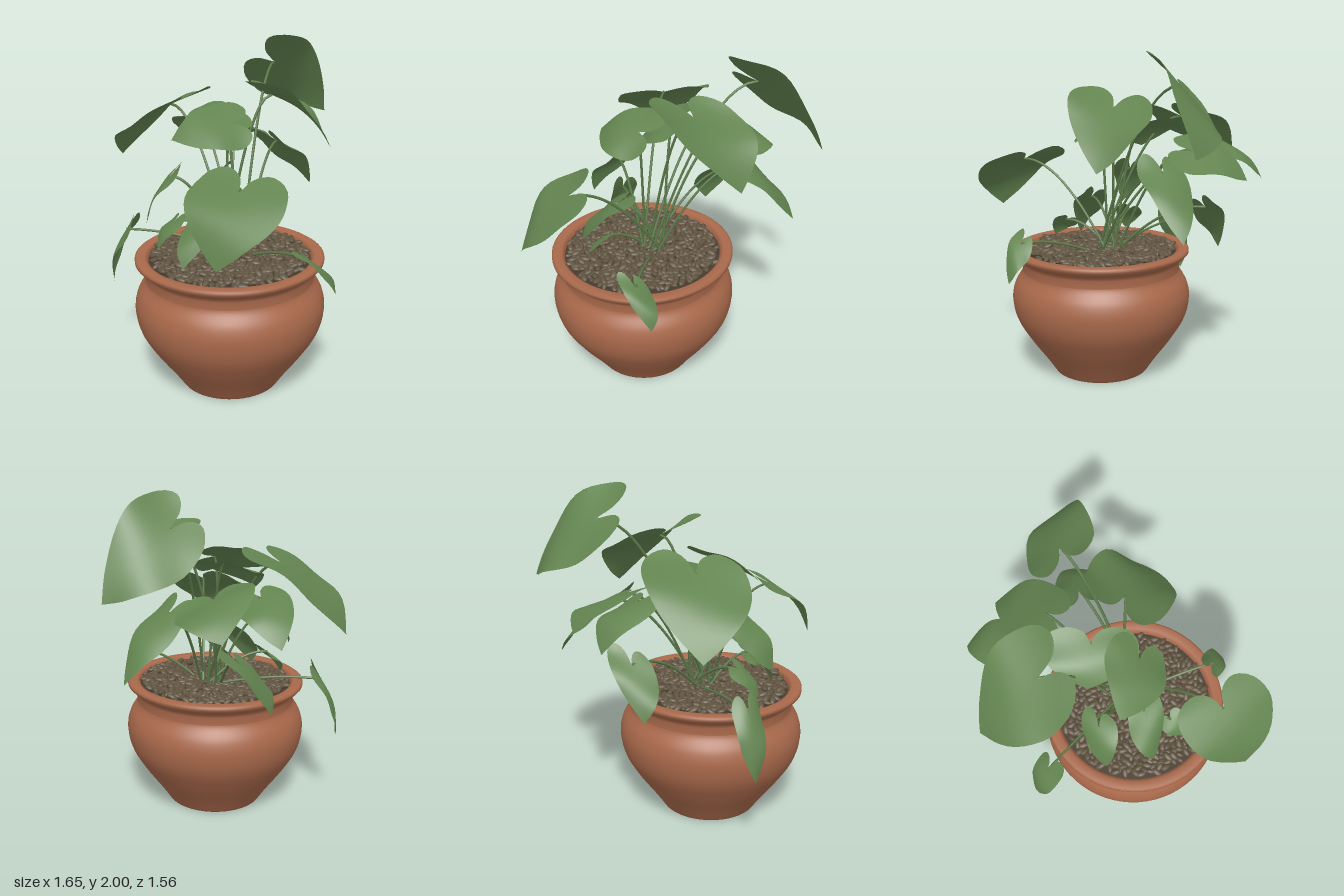
import * as THREE from 'three';
import { mergeGeometries } from 'three/addons/utils/BufferGeometryUtils.js';

const CX = 0.11, CZ = 0.22; // pot axis

const V = (a) => new THREE.Vector3(...a);
const paint = (name, hex) => {
  const m = new THREE.MeshStandardMaterial({ color: hex });
  m.name = name;
  return m;
};

function seeded(seed) {
  return () => {
    seed = (seed * 16807) % 2147483647;
    return seed / 2147483647;
  };
}

// Half outline of a heart leaf: x along the rib (0 notch, 1 tip), y across
const outline = new THREE.CatmullRomCurve3([
  [0, 0], [-0.22, 0.15], [-0.32, 0.5], [-0.15, 0.9], [0.15, 1],
  [0.45, 0.84], [0.78, 0.42], [1, 0],
].map(([l, w]) => new THREE.Vector3(l, w, 0)));

// Heart leaf from its notch, tip and half-width vector
function leafGeometry(notch, tip, side, arch, fold, phase) {
  const rows = 24, cols = 12;
  const axis = tip.clone().sub(notch), len = axis.length();
  const up = side.clone().cross(axis).normalize();
  if (up.y < 0) up.negate();
  const pos = [], idx = [];
  for (let i = 0; i <= rows; i++) {
    const s = i / rows, edge = outline.getPoint(s), rib = s * s;
    for (let j = 0; j <= cols; j++) {
      const k = (j / cols) * 2 - 1, a = Math.abs(k);
      const l = rib + (edge.x - rib) * a, w = edge.y * k;
      const h = len * (arch * Math.sin(Math.PI * l) - fold * w * w
        + 0.035 * w * Math.sin(7 * l + phase));
      const p = notch.clone().addScaledVector(axis, l)
        .addScaledVector(side, w).addScaledVector(up, h);
      pos.push(p.x, p.y, p.z);
      if (i < rows && j < cols) {
        const q = i * (cols + 1) + j, r = q + cols + 1;
        idx.push(q, r, q + 1, q + 1, r, r + 1);
      }
    }
  }
  const g = new THREE.BufferGeometry();
  g.setAttribute('position', new THREE.Float32BufferAttribute(pos, 3));
  g.setIndex(idx);
  g.computeVertexNormals();
  return g;
}

// [notch, tip, half width, arch, fold]
const LEAVES = {
  topBackLeaf: [[-0.21, 1.82, -0.38], [-0.165, 1.47, -0.78], [0.18, 0.17, -0.03], 0.12, 0],
  highCentreLeaf: [[0.1, 1.69, -0.1], [0.27, 1.36, -0.42], [0.19, 0.05, 0.18], 0.1, -0.1],
  largeLeftLeaf: [[0.55, 1.33, 0.49], [0.67, 1.0, 0.73], [0.26, -0.02, -0.1], 0.14, 0.02],
  largeRightLeaf: [[-0.42, 1.6, 0.25], [-0.79, 1.24, 0.39], [0.09, -0.04, 0.27], 0.1, 0],
  backRightLeaf: [[-0.34, 1.44, -0.18], [-0.62, 1.28, -0.36], [0.1, -0.08, -0.2], 0.12, 0.03],
  lowBackLeaf: [[-0.13, 1.34, -0.34], [-0.15, 1.0, -0.65], [0.14, 0.02, 0], 0.08, 0.06],
  frontHighLeaf: [[0.12, 1.57, 0.22], [-0.03, 1.49, 0.51], [0.15, -0.1, 0.07], 0.1, 0.06],
  centreLeaf: [[-0.12, 1.57, 0.09], [-0.17, 1.42, 0.29], [0.26, -0.03, 0.03], 0.12, 0.1],
  outerRightLeaf: [[-0.55, 1.46, -0.03], [-0.81, 1.25, -0.13], [-0.05, 0.03, 0.15], 0.14, 0.08],
  sideRightLeaf: [[-0.47, 1.08, -0.09], [-0.6, 0.8, 0.02], [0.03, -0.05, 0.13], 0.1, 0.03],
  droopingLeaf: [[-0.47, 0.86, 0.57], [-0.55, 0.5, 0.63], [0.07, 0.02, 0.06], 0.1, 0.08],
  frontMiddleLeaf: [[-0.14, 1.25, 0.46], [-0.13, 1.0, 0.63], [0.09, 0.01, 0.06], 0.1, 0.05],
  frontLowLeaf: [[0.14, 1.09, 0.37], [0.17, 0.81, 0.59], [0.1, 0.04, -0.08], 0.1, 0.05],
  rimLeftLeaf: [[0.63, 0.88, 0.07], [0.72, 0.67, -0.05], [0.04, 0.04, 0.08], 0.12, 0.06],
  smallLeftLeaf: [[0.3, 0.94, 0.4], [0.36, 0.83, 0.48], [0.07, 0.03, -0.03], 0.1, 0.08],
  smallRightLeaf: [[-0.13, 0.98, 0.44], [-0.13, 0.83, 0.56], [0.085, 0.02, 0], 0.1, 0.08],
};

export function createModel() {
  const model = new THREE.Group();
  model.name = 'pottedPlant';
  const terracotta = paint('terracotta', 0xa9694b);
  const leafGreen = paint('leafGreen', 0x638450);
  leafGreen.side = THREE.DoubleSide;
  const stemGreen = paint('stemGreen', 0x5c7a49);
  const stone = paint('pebbleBrown', 0x605340);
  const soilBrown = paint('soilBrown', 0x463c30);

  const add = (name, geometry, material, parent = model) => {
    const mesh = new THREE.Mesh(geometry, material);
    mesh.name = name;
    parent.add(mesh);
    return mesh;
  };

  // Pot: foot, belly, neck, flared rim and inner wall
  const belly = new THREE.SplineCurve([
    [0.3, 0], [0.36, 0.09], [0.46, 0.23], [0.535, 0.36], [0.56, 0.48],
    [0.545, 0.57], [0.505, 0.64], [0.495, 0.665],
  ].map((p) => new THREE.Vector2(...p))).getPoints(36);
  const rim = [[0.494, 0.71], [0.503, 0.733], [0.535, 0.757], [0.552, 0.775], [0.552, 0.792],
    [0.54, 0.8], [0.495, 0.8], [0.475, 0.785], [0.467, 0.72]].map((p) => new THREE.Vector2(...p));
  const foot = [[0, 0.02], [0.265, 0.02], [0.285, 0.002]].map((p) => new THREE.Vector2(...p));
  add('pot', new THREE.LatheGeometry([...foot, ...belly, ...rim], 64), terracotta)
    .position.set(CX, 0, CZ);

  // Soil under the pebbles
  const soil = add('soil', new THREE.CircleGeometry(0.474, 48), soilBrown);
  soil.rotation.x = -Math.PI / 2;
  soil.position.set(CX, 0.77, CZ);

  // Pebbles in a sunflower spread
  const rand = seeded(77), pebbles = [], count = 560;
  for (let i = 0; i < count; i++) {
    const r = 0.455 * Math.sqrt((i + 0.5) / count), a = i * 2.39996;
    const g = new THREE.SphereGeometry(1, 8, 6);
    const size = 0.85 + rand() * 0.45;
    g.scale(0.031 * size, 0.014 * size, 0.017 * size);
    g.rotateZ((rand() - 0.5) * 0.8);
    g.rotateY(rand() * Math.PI);
    g.translate(CX + r * Math.cos(a), 0.778 + rand() * 0.018, CZ + r * Math.sin(a));
    pebbles.push(g);
  }
  add('pebbles', mergeGeometries(pebbles), stone);

  // Leaves, each on a stem that rises from the crown and arches over
  const foliage = new THREE.Group();
  foliage.name = 'foliage';
  model.add(foliage);
  Object.entries(LEAVES).forEach(([name, [n, t, s, arch, fold]], i) => {
    const notch = V(n), tip = V(t);
    add(name, leafGeometry(notch, tip, V(s), arch, fold, i), leafGreen, foliage);
    const turn = i * 2.4;
    const root = new THREE.Vector3(0.08 + 0.06 * Math.cos(turn), 0.76, 0.16 + 0.06 * Math.sin(turn));
    const bend = root.clone().lerp(notch, 0.55);
    bend.y = notch.y + 0.02;
    const path = new THREE.QuadraticBezierCurve3(root, bend, notch);
    add(name + 'Stem', new THREE.TubeGeometry(path, 20, 0.008, 6), stemGreen, foliage);
  });
  return model;
}
